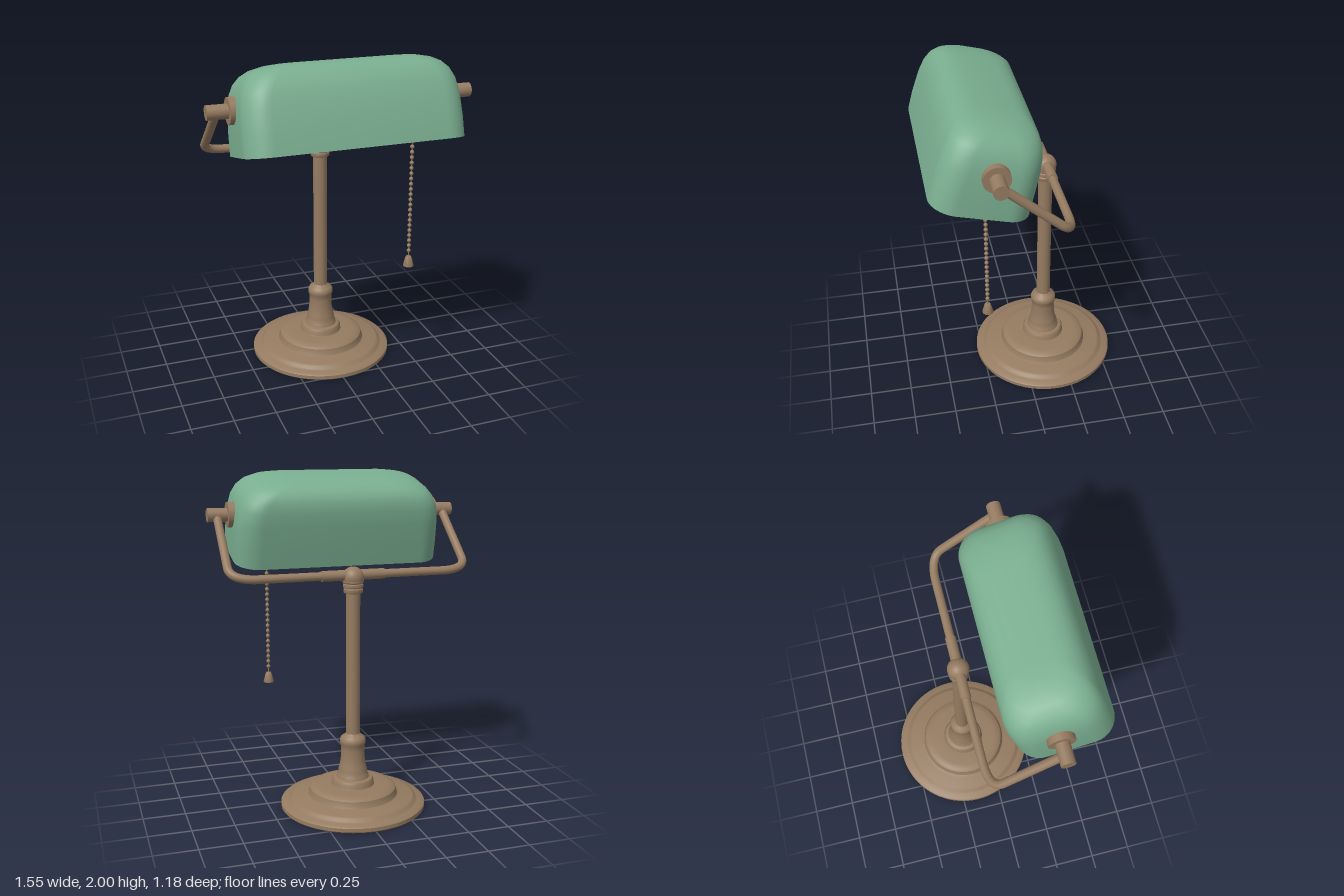
import * as THREE from 'three';
import { toCreasedNormals } from 'three/addons/utils/BufferGeometryUtils.js';

const bronze = new THREE.MeshStandardMaterial({ color: 0x957b61 });
bronze.name = 'bronze';
const green = new THREE.MeshStandardMaterial({ color: 0x7aae90 });
green.name = 'green glass';
const white = new THREE.MeshStandardMaterial({ color: 0xe8e8e8 });
white.name = 'white lining';

const V = (x, y, z) => new THREE.Vector3(x, y, z);

function add(parent, name, geometry, material, x = 0, y = 0, z = 0) {
  const mesh = new THREE.Mesh(geometry, material);
  mesh.name = name;
  mesh.position.set(x, y, z);
  parent.add(mesh);
  return mesh;
}

// Turned part from [radius, height] pairs, bottom to top
function turned(profile, sides = 64) {
  const points = profile.map(([r, y]) => new THREE.Vector2(r, y));
  return toCreasedNormals(new THREE.LatheGeometry(points, sides), 0.65);
}

// Rounded rectangle outline at height v, half sizes a (x) and b (z)
function ring([v, a, b, shift = 0]) {
  const r = Math.min(0.14, a, b), n = 10, points = [];
  for (let q = 0; q < 4; q++) {
    const sx = q === 0 || q === 3 ? 1 : -1, sz = q < 2 ? 1 : -1;
    for (let i = 0; i <= n; i++) {
      const t = (q + i / n) * Math.PI / 2;
      points.push(V(sx * (a - r) + r * Math.cos(t), v, shift + sz * (b - r) + r * Math.sin(t)));
    }
  }
  return points;
}

// Skin over a series of rings
function loft(sections) {
  const rings = sections.map(ring), n = rings[0].length;
  const positions = rings.flat().flatMap(p => p.toArray()), index = [];
  for (let j = 0; j < rings.length - 1; j++) {
    for (let i = 0; i < n; i++) {
      const k = (i + 1) % n, p = j * n, q = p + n;
      index.push(p + i, q + i, p + k, p + k, q + i, q + k);
    }
  }
  const geometry = new THREE.BufferGeometry();
  geometry.setAttribute('position', new THREE.Float32BufferAttribute(positions, 3));
  geometry.setIndex(index);
  return toCreasedNormals(geometry, 0.7);
}

export function createModel() {
  const lamp = new THREE.Group();
  lamp.name = 'deskLamp';
  const postZ = -0.152;

  // Stepped foot and flared socket
  add(lamp, 'base', turned([
    [0, 0.005], [0.43, 0.005], [0.437, 0.012], [0.437, 0.034], [0.428, 0.042], [0.395, 0.046],
    [0.382, 0.052], [0.374, 0.066], [0.36, 0.072], [0.29, 0.076], [0.272, 0.082], [0.264, 0.1],
    [0.26, 0.12], [0.245, 0.132], [0.21, 0.137], [0.13, 0.139], [0.127, 0.145], [0.127, 0.165],
    [0.118, 0.18], [0.098, 0.186], [0.095, 0.2], [0.088, 0.21], [0.088, 0.23], [0.08, 0.255],
    [0.073, 0.3], [0.07, 0.36], [0.072, 0.39], [0.078, 0.4], [0.078, 0.42], [0.07, 0.437],
    [0.052, 0.448], [0.042, 0.46], [0, 0.46],
  ], 80), bronze, 0, 0, postZ);

  // Post
  add(lamp, 'post', new THREE.CylinderGeometry(0.042, 0.042, 0.9, 40), bronze, 0, 0.89, postZ);

  // Ribbed collar and ball joint
  add(lamp, 'collar', turned([
    [0.04, 1.315], [0.054, 1.315], [0.057, 1.32], [0.057, 1.338], [0.052, 1.342], [0.052, 1.346],
    [0.06, 1.35], [0.06, 1.366], [0.054, 1.37], [0.054, 1.374], [0.062, 1.378], [0.062, 1.395],
    [0.055, 1.4], [0.055, 1.42], [0, 1.42],
  ], 40), bronze, 0, 0, postZ);
  add(lamp, 'ballJoint', new THREE.SphereGeometry(0.064, 36, 24), bronze, 0, 1.405, postZ);
  const sleeve = add(lamp, 'armSleeve', new THREE.CylinderGeometry(0.031, 0.031, 0.38, 28), bronze, 0, 1.42, postZ);
  sleeve.rotation.z = Math.PI / 2;

  // Bent yoke arm, one continuous tube
  const side = s => {
    const end = V(s * 0.715, 1.75, 0.245), corner = V(s * 0.72, 1.417, -0.155);
    return {
      end, corner,
      up: corner.clone().lerp(end, 0.2),
      along: V(s * 0.54, 1.42, postZ),
    };
  };
  const R = side(-1), L = side(1), path = new THREE.CurvePath();
  path.add(new THREE.LineCurve3(R.end, R.up));
  path.add(new THREE.QuadraticBezierCurve3(R.up, R.corner, R.along));
  path.add(new THREE.LineCurve3(R.along, L.along));
  path.add(new THREE.QuadraticBezierCurve3(L.along, L.corner, L.up));
  path.add(new THREE.LineCurve3(L.up, L.end));
  add(lamp, 'yokeArm', new THREE.TubeGeometry(path, 160, 0.025, 20), bronze);

  // Pivot rods and washers
  for (const s of [-1, 1]) {
    const name = s > 0 ? 'left' : 'right';
    const rod = add(lamp, name + 'PivotRod', new THREE.CylinderGeometry(0.041, 0.041, 0.17, 32), bronze, s * 0.688, 1.75, 0.243);
    const washer = add(lamp, name + 'Washer', new THREE.CylinderGeometry(0.075, 0.075, 0.06, 40), bronze, s * 0.625, 1.75, 0.243);
    rod.rotation.z = washer.rotation.z = Math.PI / 2;
  }

  // Tilted glass shade with white lining
  const shade = new THREE.Group();
  shade.name = 'shade';
  shade.position.set(0, 1.511, 0.318);
  shade.rotation.x = -0.253;
  lamp.add(shade);
  const outer = [
    [0, 0.633, 0.277], [0.12, 0.632, 0.275], [0.25, 0.626, 0.269, -0.004], [0.33, 0.612, 0.26, -0.008],
    [0.385, 0.588, 0.245, -0.011], [0.425, 0.553, 0.222, -0.013], [0.453, 0.505, 0.19, -0.014],
    [0.47, 0.44, 0.15, -0.014], [0.476, 0.37, 0.1, -0.014], [0.477, 0.3, 0, -0.014],
  ];
  const wall = 0.024;
  const inner = outer.map(([v, a, b, s], i) => [i ? v - wall : 0, a - wall, Math.max(b - wall, 0), s]);
  add(shade, 'shadeGlass', loft([inner[0], ...outer]), green);
  add(shade, 'shadeLining', loft(inner.reverse()), white);

  // Beaded pull chain
  const chain = new THREE.Group();
  chain.name = 'pullChain';
  chain.position.set(0.415, 0, 0.272);
  lamp.add(chain);
  const bead = new THREE.SphereGeometry(0.0125, 12, 8);
  for (let y = 0.8; y < 1.93; y += 0.0325) add(chain, 'bead', bead, bronze, 0, y, 0);
  add(chain, 'cord', new THREE.CylinderGeometry(0.004, 0.004, 1.18, 8), bronze, 0, 1.345, 0);
  add(chain, 'pullBell', turned([
    [0, 0.7], [0.031, 0.7], [0.032, 0.704], [0.019, 0.755], [0.015, 0.762], [0, 0.764],
  ], 24), bronze);

  return lamp;
}
